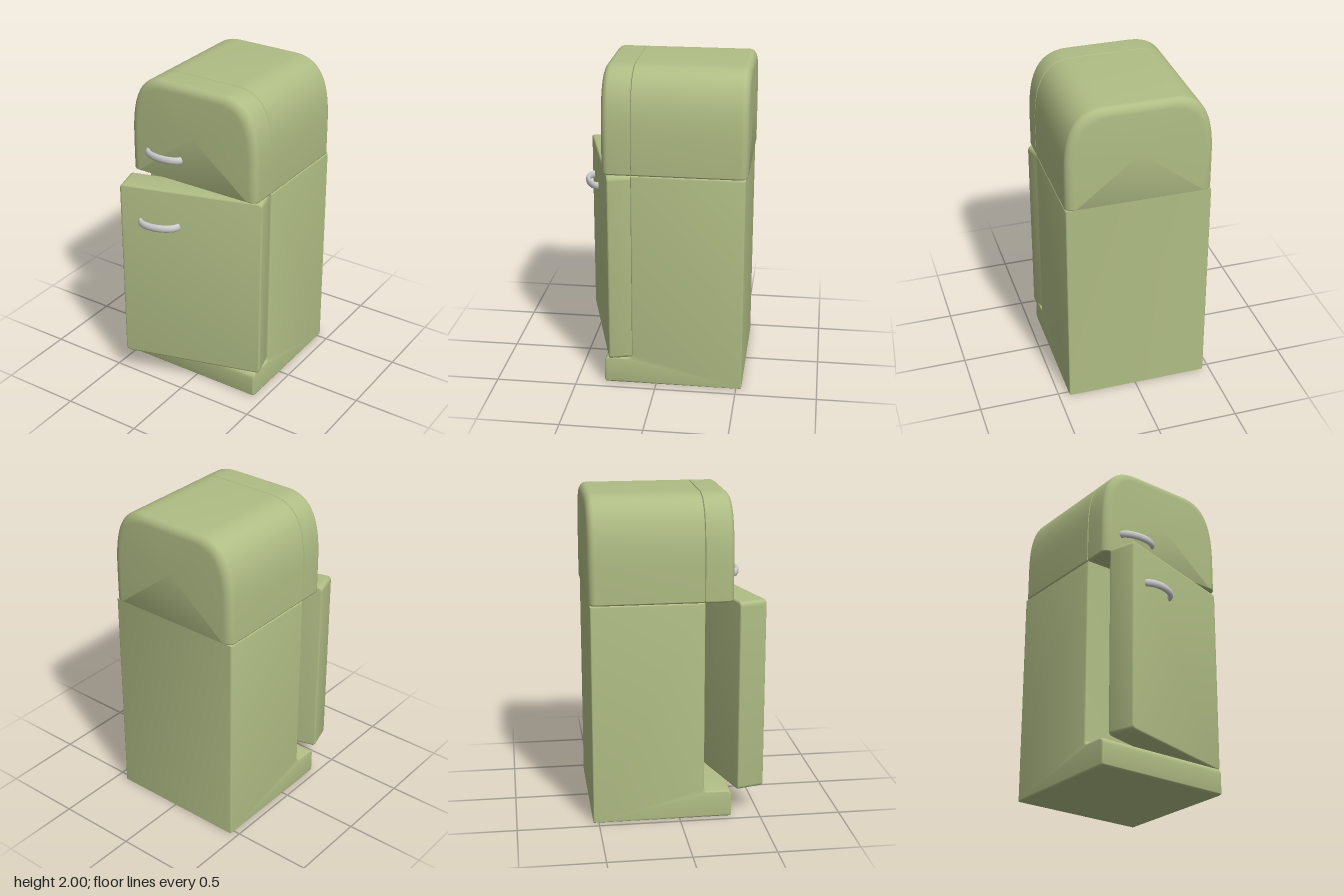
import * as THREE from 'three';
import { toCreasedNormals } from 'three/addons/utils/BufferGeometryUtils.js';

const green = new THREE.MeshStandardMaterial({ color: 0xb0bd85 });
const grey = new THREE.MeshStandardMaterial({ color: 0xcccccc });
const CX = -0.0125, HALF = 0.4475; // cabinet centre and half width
const SPLIT = 1.37, TOP = 2;       // freezer bottom and top

function part(name, geometry, material = green) {
  const mesh = new THREE.Mesh(geometry, material);
  mesh.name = name;
  return mesh;
}

// Arched outline of the freezer, counterclockwise from the bottom right
function archOutline() {
  const s = new THREE.Shape();
  const h = TOP - SPLIT, r = 0.012;
  s.moveTo(HALF - r, 0);
  s.quadraticCurveTo(HALF, 0, HALF, r);
  s.lineTo(HALF, 0.22);
  s.bezierCurveTo(HALF, 0.48, 0.39, h, 0.2, h);
  s.lineTo(-0.2, h);
  s.bezierCurveTo(-0.39, h, -HALF, 0.48, -HALF, 0.22);
  s.lineTo(-HALF, r);
  s.quadraticCurveTo(-HALF, 0, r - HALF, 0);
  return s.getPoints(14);
}

// Lofts the arch through [z, inset] sections and caps both ends
function archLoft(sections) {
  const outline = archOutline(), n = outline.length, h = TOP - SPLIT;
  const pos = [], index = [];
  for (const [z, d] of sections) {
    const low = d * 0.15;
    for (const p of outline) {
      pos.push(CX + p.x * (HALF - d) / HALF, SPLIT + low + p.y * (h - d - low) / h, z);
    }
  }
  const last = sections.length - 1;
  for (let k = 0; k < last; k++) {
    for (let i = 0; i < n; i++) {
      const j = (i + 1) % n, a = k * n + i, b = k * n + j;
      index.push(a, b, b + n, a, b + n, a + n);
    }
  }
  const back = pos.length / 3, front = back + 1;
  pos.push(CX, SPLIT + h / 2, sections[0][0], CX, SPLIT + h / 2, sections[last][0]);
  for (let i = 0; i < n; i++) {
    const j = (i + 1) % n;
    index.push(back, j, i, front, last * n + i, last * n + j);
  }
  const g = new THREE.BufferGeometry();
  g.setAttribute('position', new THREE.Float32BufferAttribute(pos, 3));
  g.setIndex(index);
  return toCreasedNormals(g, 0.7);
}

// Quarter-round [z, inset] steps that end at zEnd; dir is the outward z direction
function roundedEnd(zEnd, dir, depth = 0.045, inset = 0.055) {
  const out = [];
  for (let i = 0; i <= 7; i++) {
    const a = (i / 7) * Math.PI / 2;
    out.push([zEnd - dir * depth * (1 - Math.sin(a)), inset * (1 - Math.cos(a))]);
  }
  return out;
}

// Curved tube handle standing on a face at z = 0
function handle(name, reach) {
  const pts = [];
  for (let i = 0; i <= 12; i++) {
    const a = (i / 12) * Math.PI;
    pts.push(new THREE.Vector3(-0.122 * Math.cos(a), 0, -0.012 + (reach - 0.004) * Math.sin(a)));
  }
  const g = new THREE.TubeGeometry(new THREE.CatmullRomCurve3(pts), 32, 0.016, 14);
  g.scale(1, 1.5, 1);
  return part(name, g, grey);
}

export function createModel() {
  const model = new THREE.Group();
  model.name = 'refrigerator';

  // Lower cabinet: side profile with a protruding plinth, extruded across the width
  const bevel = 0.01, back = -0.533, face = 0.152, toe = 0.325;
  const side = new THREE.Shape();
  side.moveTo(back, 0);
  side.lineTo(toe - 0.02, 0);
  side.quadraticCurveTo(toe, 0, toe, 0.02);
  side.lineTo(toe, 0.13);
  side.quadraticCurveTo(toe, 0.17, toe - 0.04, 0.17);
  side.lineTo(face + 0.03, 0.17);
  side.quadraticCurveTo(face, 0.17, face, 0.2);
  side.lineTo(face, SPLIT);
  side.lineTo(back, SPLIT);
  side.closePath();
  const cabinet = new THREE.ExtrudeGeometry(side, {
    depth: 2 * (HALF - bevel), bevelThickness: bevel, bevelSize: bevel,
    bevelOffset: -bevel, bevelSegments: 3, curveSegments: 8,
  });
  cabinet.rotateY(-Math.PI / 2);
  cabinet.translate(CX + HALF - bevel, 0, 0);
  model.add(part('cabinet', toCreasedNormals(cabinet, 0.7)));

  // Freezer compartment and its closed door, with a fine seam between them
  model.add(part('freezerBody', archLoft([
    ...roundedEnd(-0.543, -1).reverse(), [0.146, 0], [0.15, 0.005],
  ])));
  model.add(part('freezerDoor', archLoft([
    [0.15, 0.005], [0.154, 0], ...roundedEnd(0.33, 1),
  ])));
  const freezerHandle = handle('freezerHandle', 0.06);
  freezerHandle.position.set(-0.215, 1.52, 0.33);
  model.add(freezerHandle);

  // Main door, ajar on its hinge at the model's left
  const door = new THREE.Group();
  door.name = 'mainDoor';
  const W = 0.894, H = 1.2, T = 0.177, R = 0.03, B = 0.01;
  const panel = new THREE.Shape();
  panel.moveTo(-W + R, 0);
  panel.lineTo(-R, 0);
  panel.quadraticCurveTo(0, 0, 0, R);
  panel.lineTo(0, H - R);
  panel.quadraticCurveTo(0, H, -R, H);
  panel.lineTo(-W + R, H);
  panel.quadraticCurveTo(-W, H, -W, H - R);
  panel.lineTo(-W, R);
  panel.quadraticCurveTo(-W, 0, -W + R, 0);
  const slab = new THREE.ExtrudeGeometry(panel, {
    depth: T - 2 * B, bevelThickness: B, bevelSize: B, bevelOffset: -B,
    bevelSegments: 3, curveSegments: 8,
  });
  slab.translate(0, 0, -T + B);
  door.add(part('doorPanel', toCreasedNormals(slab, 0.7)));
  const doorHandle = handle('doorHandle', 0.068);
  doorHandle.position.set(-0.645, 0.965, 0);
  door.add(doorHandle);
  door.position.set(0.457, 0.165, 0.29);
  door.rotation.y = 0.277;
  model.add(door);

  return model;
}
